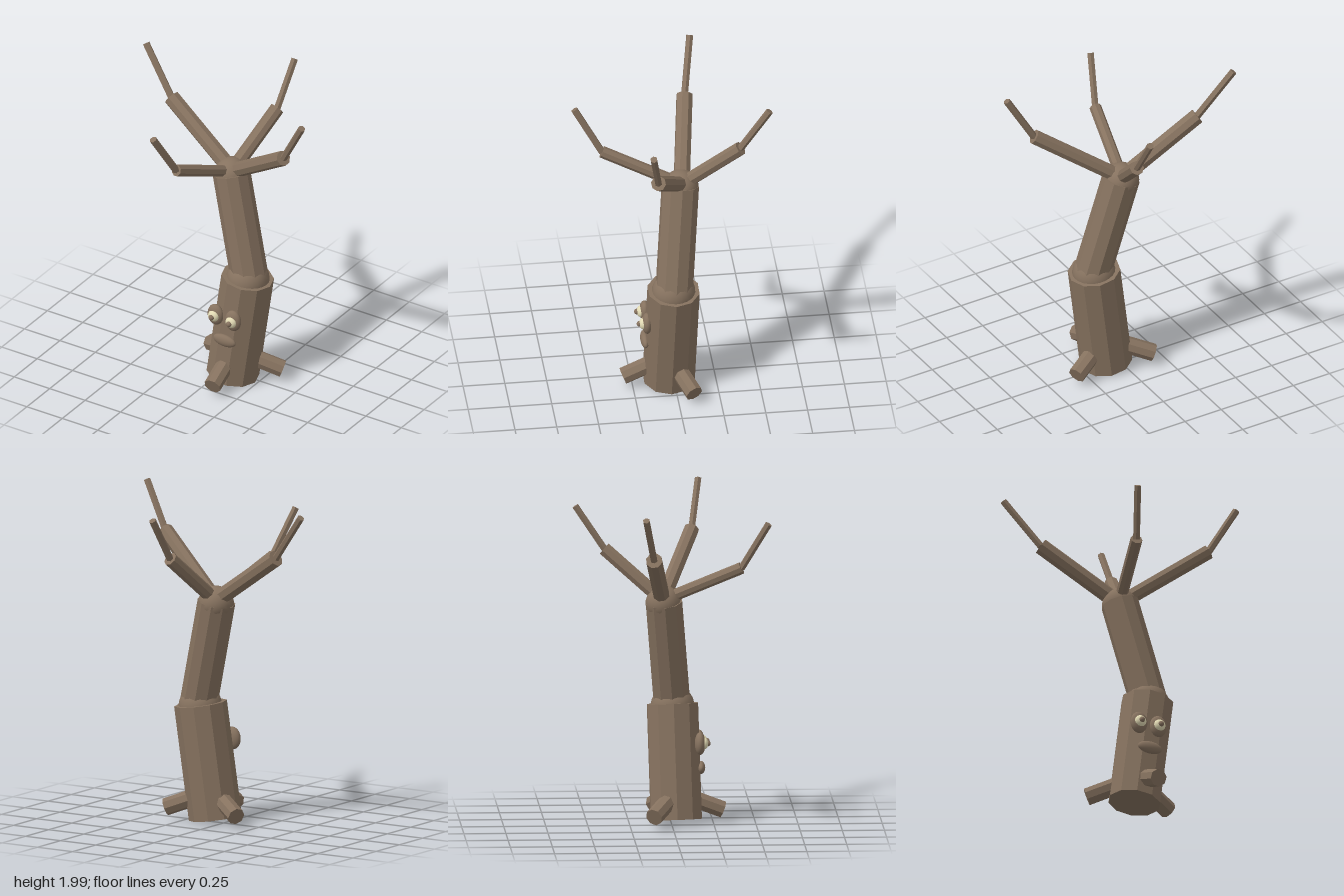
import * as THREE from 'three';

export function createModel() {
  const tree = new THREE.Group();
  tree.name = 'tree';

  const bark = new THREE.MeshStandardMaterial({ color: 0x86725f, flatShading: true });
  bark.name = 'bark brown';
  const smoothBark = new THREE.MeshStandardMaterial({ color: 0x86725f });
  smoothBark.name = 'smooth bark brown';
  const cream = new THREE.MeshStandardMaterial({ color: 0xe2dab4 });
  cream.name = 'eye cream';

  const vec = (p) => new THREE.Vector3(...p);
  const UP = new THREE.Vector3(0, 1, 0);

  // Capped faceted log running between two points
  function log(name, from, to, radius, sides) {
    const a = vec(from), b = vec(to), dir = b.clone().sub(a);
    const geo = new THREE.CylinderGeometry(radius, radius, dir.length(), sides);
    geo.rotateY(Math.PI / sides);
    const mesh = new THREE.Mesh(geo, bark);
    mesh.name = name;
    mesh.position.copy(a).add(b).multiplyScalar(0.5);
    mesh.quaternion.setFromUnitVectors(UP, dir.normalize());
    tree.add(mesh);
  }

  // Smooth ball, stretched along each axis
  function ball(name, parent, center, size, material) {
    const mesh = new THREE.Mesh(new THREE.SphereGeometry(1, 24, 16), material);
    mesh.name = name;
    mesh.position.set(...center);
    mesh.scale.set(...size);
    parent.add(mesh);
  }

  // Trunk in two leaning sections with round joints
  log('lowerTrunk', [0.08, 0.03, 0.03], [0.173, 0.713, 0.012], 0.158, 10);
  ball('trunkJoint', tree, [0.173, 0.695, 0.012], [0.131, 0.131, 0.131], smoothBark);
  log('upperTrunk', [0.185, 0.71, 0.01], [0.02, 1.355, -0.047], 0.113, 10);
  ball('crownJoint', tree, [0.02, 1.342, -0.05], [0.106, 0.106, 0.106], smoothBark);

  // Branches, each ending in a thin twig bent upward
  const crown = [0.02, 1.36, -0.055];
  const branches = [
    ['right', [-0.457, 1.677, -0.13], [-0.673, 1.953, -0.187], 0.05],
    ['left', [0.51, 1.705, 0.143], [0.67, 1.985, 0.19], 0.046],
    ['front', [-0.075, 1.565, 0.41], [-0.137, 1.838, 0.568], 0.036],
    ['back', [0.12, 1.655, -0.395], [0.131, 1.913, -0.568], 0.043],
  ];
  for (const [side, elbow, tip, radius] of branches) {
    log(side + 'Branch', crown, elbow, radius, 8);
    log(side + 'Twig', elbow, tip, 0.022, 6);
  }

  // Root stubs
  const rootStart = [0.09, 0.19, 0.03];
  log('frontRoot', rootStart, [0.114, 0.082, 0.308], 0.053, 8);
  log('leftRoot', rootStart, [0.355, 0.083, -0.09], 0.053, 8);
  log('rightRoot', rootStart, [-0.165, 0.083, -0.115], 0.053, 8);

  // Face tilted with the lower trunk
  const face = new THREE.Group();
  face.name = 'face';
  face.position.set(0.11, 0.488, 0.17);
  face.rotation.z = -0.04;
  tree.add(face);
  for (const [side, x] of [['right', -0.062], ['left', 0.062]]) {
    ball(side + 'EyeSocket', face, [x, 0, 0], [0.053, 0.068, 0.032], smoothBark);
    ball(side + 'Eyeball', face, [x, 0, 0.022], [0.036, 0.036, 0.027], cream);
    ball(side + 'Pupil', face, [x, 0, 0.047], [0.017, 0.017, 0.016], smoothBark);
  }
  ball('mouth', face, [0.012, -0.152, 0.008], [0.078, 0.038, 0.026], smoothBark);

  return tree;
}
